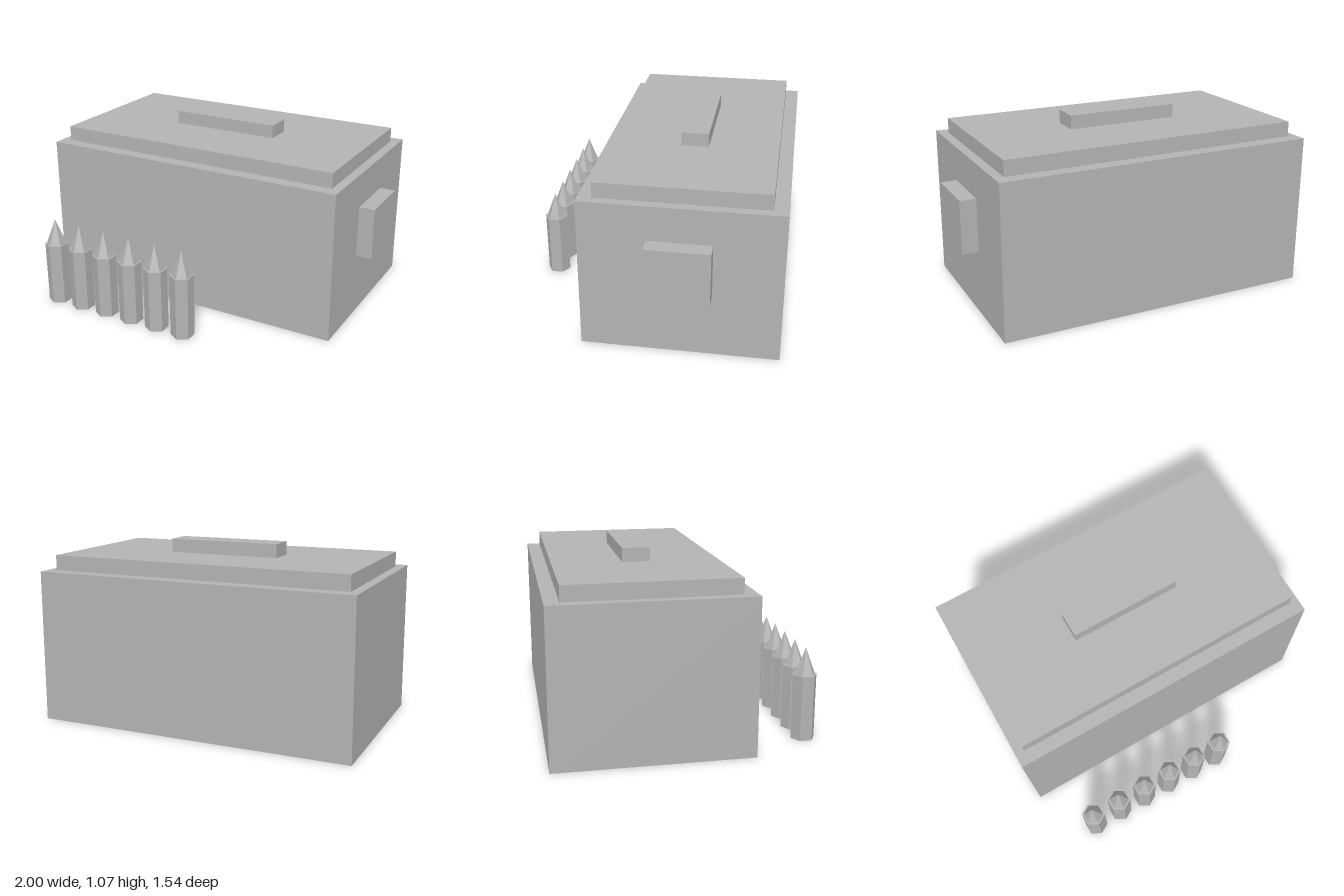
import * as THREE from 'three';

const grey = new THREE.MeshStandardMaterial({ color: 0xb3b3b3 });
grey.name = 'plainGrey';

function add(parent, name, geometry, x, y, z) {
  const mesh = new THREE.Mesh(geometry, grey);
  mesh.name = name;
  mesh.position.set(x, y, z);
  parent.add(mesh);
}

// Box given by its lower and upper corners
function block(parent, name, [x0, y0, z0], [x1, y1, z1]) {
  add(parent, name, new THREE.BoxGeometry(x1 - x0, y1 - y0, z1 - z0),
    (x0 + x1) / 2, (y0 + y1) / 2, (z0 + z1) / 2);
}

// Cylinder or cone with six flat sides
function hexagonal(top, bottom, height) {
  return new THREE.CylinderGeometry(top, bottom, height, 6).toNonIndexed();
}

function flat(geometry) {
  geometry.computeVertexNormals();
  return geometry;
}

export function createModel() {
  const model = new THREE.Group();
  model.name = 'boxWithStakes';

  // Chest with stepped lid and handles
  block(model, 'chestBody', [-1, 0, -0.77], [0.905, 0.9, 0.357]);
  block(model, 'lid', [-0.945, 0.9, -0.688], [0.85, 0.99, 0.277]);
  block(model, 'lidHandle', [-0.385, 0.99, -0.285], [0.29, 1.07, -0.125]);
  block(model, 'sidePanel', [0.905, 0.382, -0.385], [1, 0.695, -0.025]);

  // Row of pointed hexagonal stakes in front
  const shaft = flat(hexagonal(0.07, 0.07, 0.382));
  const point = flat(new THREE.ConeGeometry(0.06, 0.156, 6).toNonIndexed());
  for (let i = 0; i < 6; i++) {
    const stake = new THREE.Group();
    stake.name = 'stake' + (i + 1);
    stake.position.set(-0.766 + i * 0.18, 0, 0.697);
    add(stake, 'stakeShaft', shaft, 0, 0.191, 0);
    add(stake, 'stakePoint', point, 0, 0.46, 0);
    model.add(stake);
  }
  return model;
}
